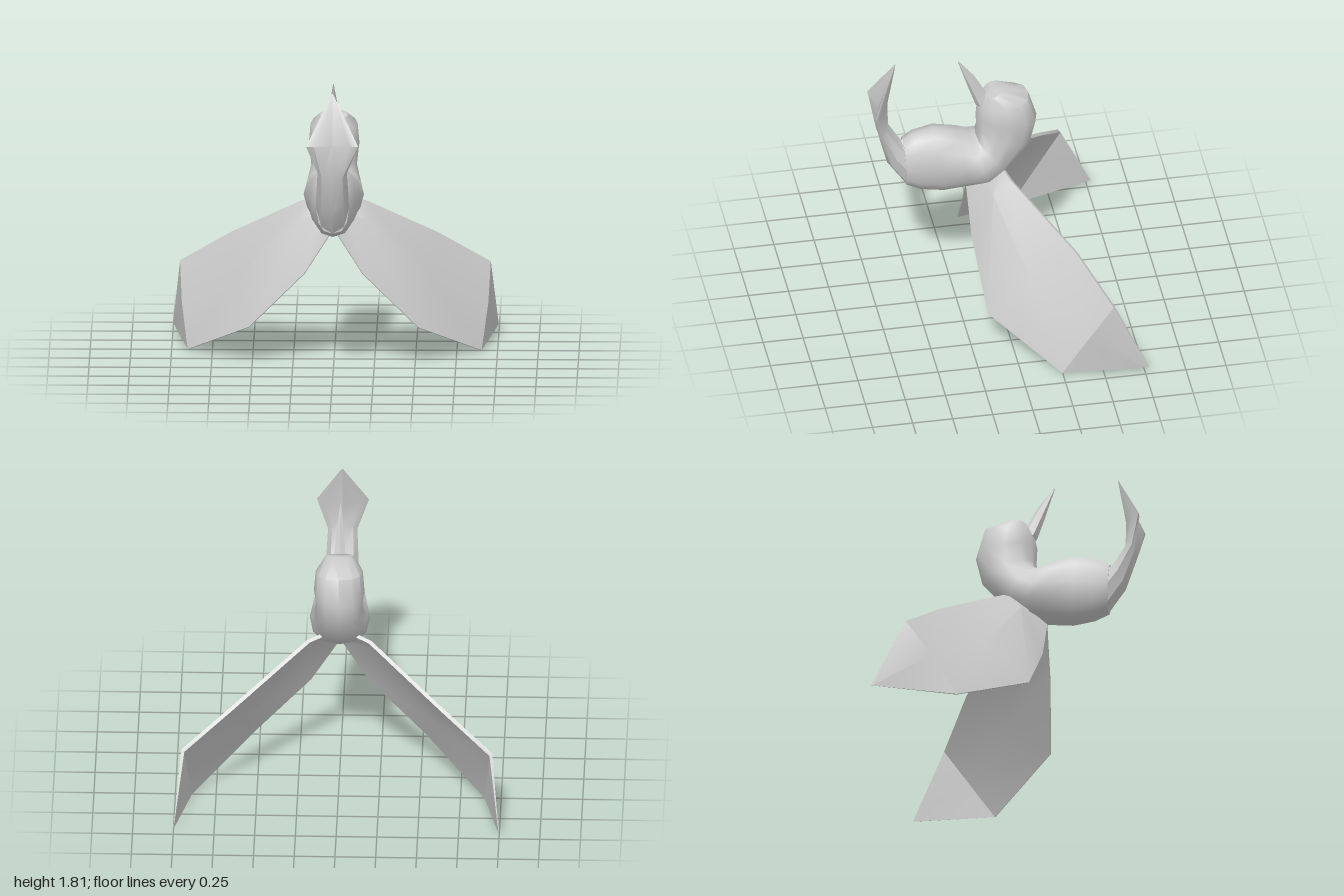
import * as THREE from 'three';
import { toCreasedNormals } from 'three/addons/utils/BufferGeometryUtils.js';

const material = new THREE.MeshStandardMaterial({ color: 0xcccccc });
const V = (x, y, z) => new THREE.Vector3(x, y, z);

// Skins a list of equal-length closed rings, caps both ends, and turns faces outward.
function loft(name, rings, crease) {
  const n = rings[0].length;
  const pts = rings.flat();
  const tris = [];
  for (let r = 0; r < rings.length - 1; r++) {
    for (let i = 0; i < n; i++) {
      const a = r * n + i, b = r * n + (i + 1) % n;
      tris.push([a, b, b + n], [a, b + n, a + n]);
    }
  }
  [0, rings.length - 1].forEach((r, end) => {
    const centre = V(0, 0, 0);
    rings[r].forEach(p => centre.addScaledVector(p, 1 / n));
    const c = pts.push(centre) - 1;
    for (let i = 0; i < n; i++) {
      const a = r * n + i, b = r * n + (i + 1) % n;
      tris.push(end ? [c, a, b] : [c, b, a]);
    }
  });
  const volume = tris.reduce((s, [a, b, c]) =>
    s + pts[a].dot(V(0, 0, 0).crossVectors(pts[b], pts[c])), 0);
  if (volume < 0) tris.forEach(t => t.reverse());
  const geo = new THREE.BufferGeometry().setFromPoints(pts);
  geo.setIndex(tris.flat());
  geo.computeVertexNormals();
  const mesh = new THREE.Mesh(toCreasedNormals(geo, crease), material);
  mesh.name = name;
  return mesh;
}

// Rounded cross-section between two points of the side profile, half-width w.
// bend shifts the outer edges forward, making a folded section.
function section([z0, y0, z1, y1, w, bend = 0], sides = 12, power = 0.85) {
  const ring = [];
  for (let i = 0; i < sides; i++) {
    const a = i / sides * Math.PI * 2;
    const c = Math.cos(a), s = Math.sin(a);
    const t = 0.5 - 0.5 * Math.sign(c) * Math.abs(c) ** power;
    const x = Math.sign(s) * Math.abs(s) ** power;
    ring.push(V(w * x, y0 + (y1 - y0) * t, z0 + (z1 - z0) * t + bend * Math.abs(x)));
  }
  return ring;
}

// Wing: chordwise sections of leading, middle and trailing points, thickened.
function wing(name, side) {
  const normal = V(0.72, 0.44, 0.54);
  const chords = [
    [[0.08, 1.02, -0.02], [0.08, 0.93, 0.08], [0, 0.865, 0.19]],
    [[0.19, 0.985, -0.06], [0.2, 0.89, 0.05], [0.18, 0.58, 0.185]],
    [[0.63, 0.71, -0.385], [0.58, 0.49, -0.12], [0.52, 0.235, 0.145]],
    [[0.945, 0.49, -0.565], [0.93, 0.26, -0.41], [0.9, 0.005, -0.25]],
    [[0.998, 0.055, -0.77], [0.997, 0.052, -0.76], [0.995, 0.05, -0.75]],
  ];
  const thickness = [0.012, 0.014, 0.003];
  const rings = chords.map((chord, k) => {
    const face = dir => chord.map((p, i) => {
      const q = V(...p).addScaledVector(normal, dir * thickness[i] * (k === 4 ? 0.1 : 1));
      q.x *= side;
      return q;
    });
    return [...face(1), ...face(-1).reverse()];
  });
  return loft(name, rings, 0.5);
}

export function createModel() {
  const model = new THREE.Group();
  model.name = 'bird';

  // Body, neck and head as one skin: underside z, y, upper side z, y, half-width
  const body = [
    [0.57, 0.92, 0.585, 1.24, 0.1],
    [0.48, 0.88, 0.52, 1.28, 0.125],
    [0.34, 0.86, 0.39, 1.305, 0.145],
    [0.17, 0.885, 0.25, 1.265, 0.165],
    [0.05, 0.905, 0.17, 1.225, 0.185],
    [-0.06, 0.99, 0.13, 1.225, 0.17],
    [-0.21, 1.16, 0.125, 1.28, 0.14],
    [-0.25, 1.33, 0.13, 1.38, 0.155],
    [-0.2, 1.5, 0.115, 1.45, 0.145],
    [-0.03, 1.567, 0.075, 1.53, 0.085],
  ];
  model.add(loft('bodyAndHead', body.map(r => section(r)), 0.9));

  // Upturned tail: a stem that flattens into a folded pointed blade
  const tail = [
    [0.57, 0.92, 0.585, 1.24, 0.1],
    [0.68, 1.08, 0.595, 1.24, 0.1],
    [0.735, 1.3, 0.675, 1.37, 0.09, 0.02],
    [0.735, 1.51, 0.68, 1.52, 0.16, 0.07],
    [0.632, 1.813, 0.628, 1.813, 0.004],
  ];
  model.add(loft('tail', tail.map(r => section(r, 8, 1)), 0.6));

  // Pointed beak
  const beak = [
    [0.03, 1.5, 0.11, 1.42, 0.05],
    [0.065, 1.535, 0.13, 1.45, 0.04],
    [0.14, 1.67, 0.175, 1.58, 0.026],
    [0.238, 1.79, 0.24, 1.787, 0.002],
  ];
  model.add(loft('beak', beak.map(r => section(r, 6, 1)), 0.6));

  model.add(wing('leftWing', 1), wing('rightWing', -1));
  return model;
}
